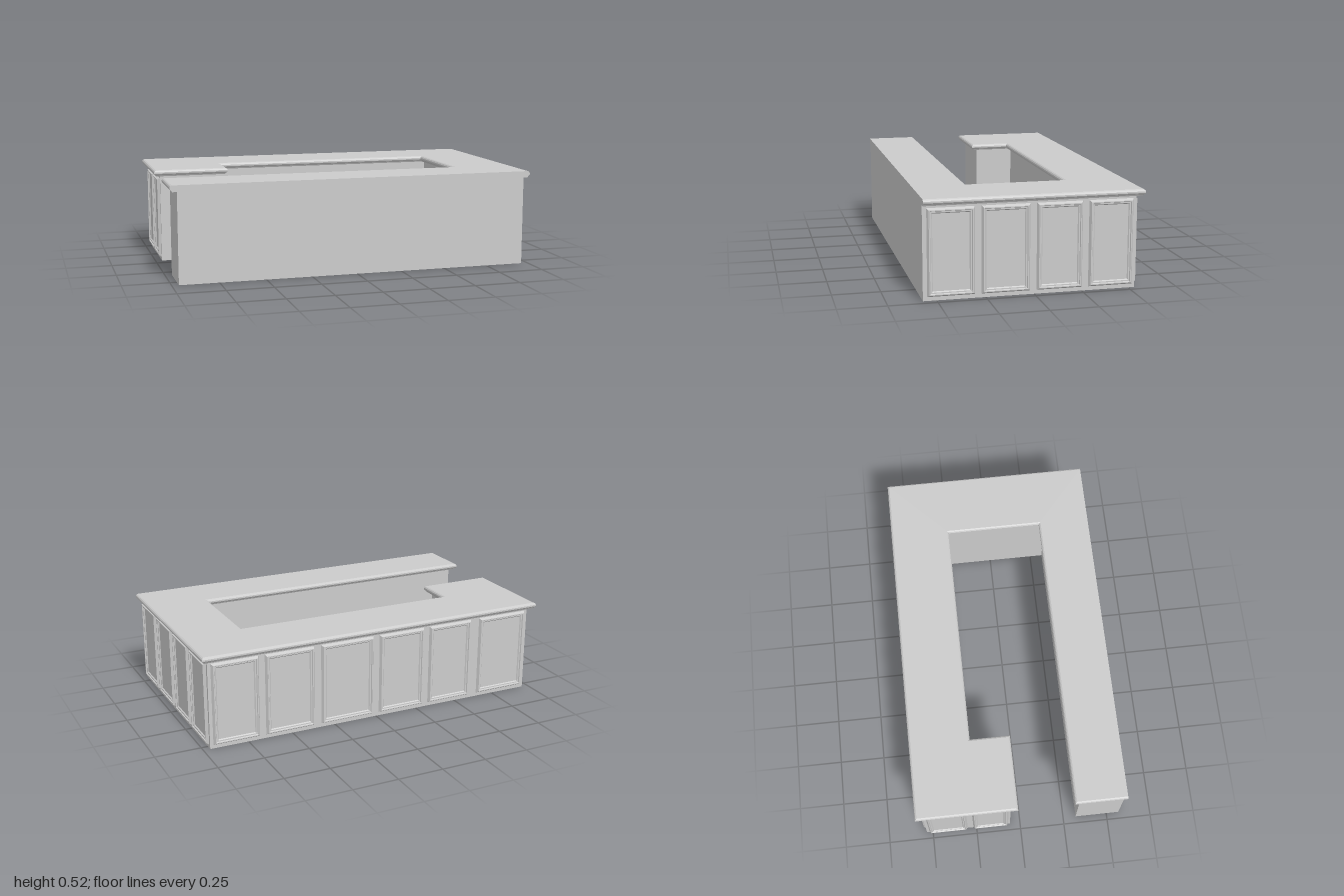
import * as THREE from 'three';

const material = new THREE.MeshStandardMaterial({ color: 0xcccccc, flatShading: true });

// Body footprint: x, z, then the direction in which each corner moves when the outline grows.
// The front wall never grows, so the worktop stays flush there.
const FOOTPRINT = [
  [-0.963, 0.57, -1, 0], [0.963, 0.57, 1, 0], [0.963, -0.535, 1, -1], [-0.963, -0.535, -1, -1],
  [-0.963, -0.057, -1, 1], [-0.622, -0.057, 1, 1], [-0.622, -0.277, 1, 1],
  [0.697, -0.277, -1, 1], [0.697, 0.322, -1, -1], [-0.963, 0.322, -1, -1],
];

// Skins a stack of counter-clockwise outlines; each level is { points: [[a, b]...], h }.
function loft(levels, capBottom) {
  const pos = [];
  const put = (level, i) => pos.push(level.points[i][0], level.points[i][1], level.h);
  for (let k = 0; k + 1 < levels.length; k++) {
    const lo = levels[k], hi = levels[k + 1], n = lo.points.length;
    for (let i = 0; i < n; i++) {
      const j = (i + 1) % n;
      put(lo, i); put(lo, j); put(hi, j);
      put(lo, i); put(hi, j); put(hi, i);
    }
  }
  const cap = (level, flip) => {
    const contour = level.points.map(([a, b]) => new THREE.Vector2(a, b));
    for (const [a, b, c] of THREE.ShapeUtils.triangulateShape(contour, [])) {
      put(level, a); put(level, flip ? c : b); put(level, flip ? b : c);
    }
  };
  cap(levels[levels.length - 1], false);
  if (capBottom) cap(levels[0], true);
  const geo = new THREE.BufferGeometry();
  geo.setAttribute('position', new THREE.Float32BufferAttribute(pos, 3));
  geo.computeVertexNormals();
  return geo;
}

// Solid on the counter footprint from [growth, height] pairs.
function footprintSolid(name, profile) {
  const levels = profile.map(([d, h]) => ({
    points: FOOTPRINT.map(([x, z, dx, dz]) => [x + dx * d, -(z + dz * d)]), h,
  }));
  const mesh = new THREE.Mesh(loft(levels, true).rotateX(-Math.PI / 2), material);
  mesh.name = name;
  return mesh;
}

// Moulded panel: bevelled frame stepping down to a flat field, facing +z.
const MOULDING = [[0, 0], [0.009, 0.015], [0.014, 0.015], [0.017, 0.009], [0.023, 0.009], [0.028, 0.003]];
function panel(width, y0, y1) {
  const levels = MOULDING.map(([inset, h]) => {
    const w = width / 2 - inset, lo = y0 + inset, hi = y1 - inset;
    return { points: [[-w, lo], [w, lo], [w, hi], [-w, hi]], h };
  });
  return new THREE.Mesh(loft(levels, false), material);
}

// Row of panels along one wall; spans run along x or z.
function panelRow(name, spans, angle, place) {
  const row = new THREE.Group();
  row.name = name;
  spans.forEach(([a, b], i) => {
    const mesh = panel(b - a, 0.02, 0.47);
    mesh.name = `${name}${i + 1}`;
    mesh.rotation.y = angle;
    mesh.position.set(...place((a + b) / 2));
    row.add(mesh);
  });
  return row;
}

export function createModel() {
  const model = new THREE.Group();
  model.name = 'counter';

  model.add(footprintSolid('counterBody', [[0, 0], [0, 0.487]]));

  // Worktop with a moulded, overhanging edge
  model.add(footprintSolid('worktop', [
    [0.002, 0.485], [0.024, 0.485], [0.028, 0.492], [0.033, 0.495],
    [0.037, 0.501], [0.037, 0.509], [0.033, 0.516], [0.026, 0.52],
  ]));

  // Panelled outer walls
  model.add(panelRow('backPanel', [
    [0.685, 0.945], [0.37, 0.65], [0.02, 0.33], [-0.29, -0.017], [-0.59, -0.325], [-0.945, -0.645],
  ], Math.PI, (x) => [x, 0, -0.535]));
  model.add(panelRow('leftSidePanel', [
    [0.305, 0.548], [0.022, 0.272], [-0.252, -0.012], [-0.52, -0.285],
  ], Math.PI / 2, (z) => [0.963, 0, z]));
  model.add(panelRow('rightSidePanel', [
    [-0.52, -0.3], [-0.268, -0.068],
  ], -Math.PI / 2, (z) => [-0.963, 0, z]));

  return model;
}
